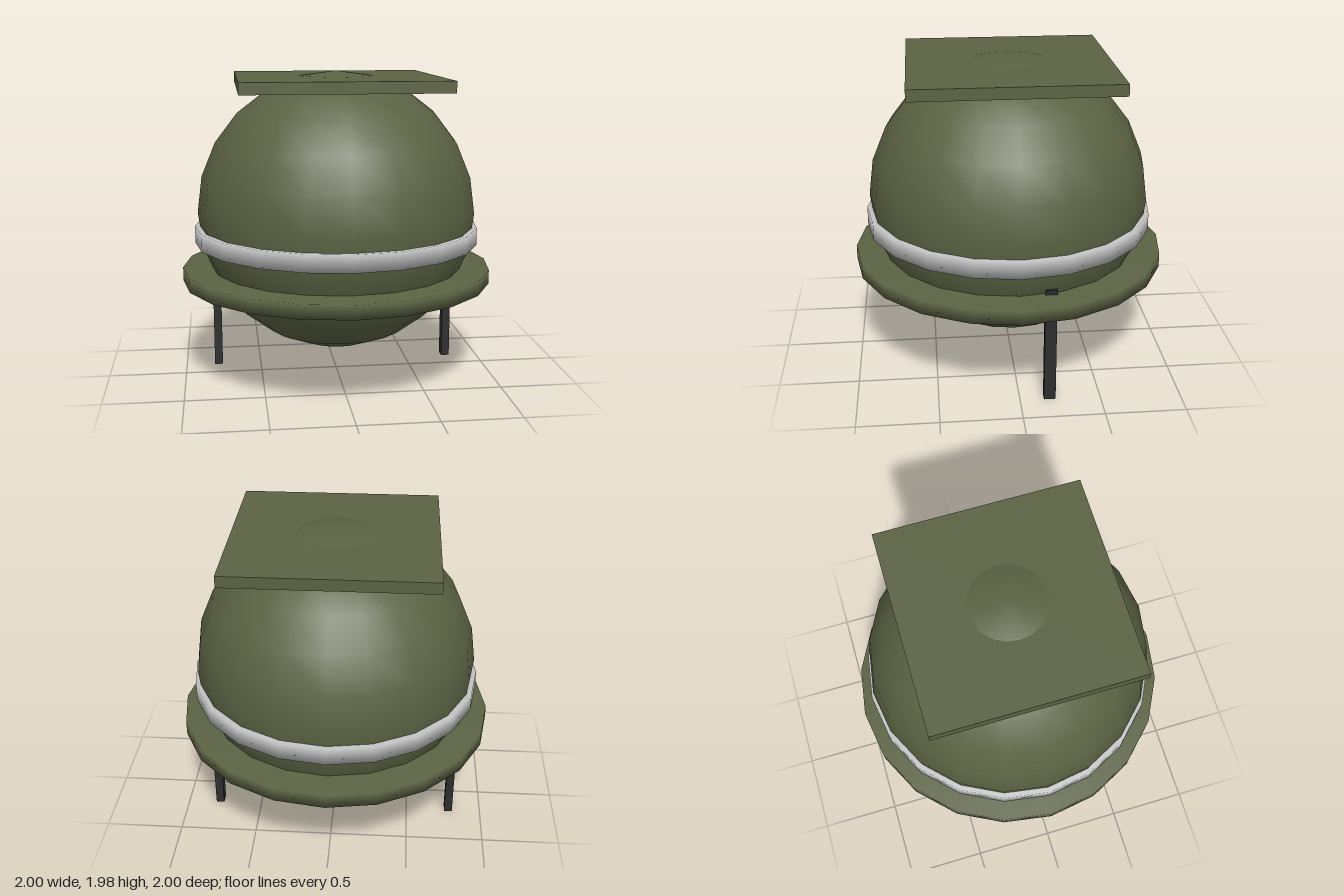
import * as THREE from 'three';
import { mergeVertices } from 'three/addons/utils/BufferGeometryUtils.js';

const mat = (name, color) => {
  const m = new THREE.MeshStandardMaterial({ color });
  m.name = name;
  return m;
};

// Cylinder disc whose rim is shaded softly, without a crease at the caps
function softDisc(radius, height) {
  const g = new THREE.CylinderGeometry(radius, radius, height, 20);
  g.deleteAttribute('normal');
  g.deleteAttribute('uv');
  const merged = mergeVertices(g, 1e-4);
  merged.computeVertexNormals();
  return merged;
}

export function createModel() {
  const model = new THREE.Group();
  model.name = 'domedHat';
  const green = mat('oliveGreen', 0x5b6243);
  const silver = mat('silver', 0xc0c0c0);
  const black = mat('charcoal', 0x2d2d2e);

  const add = (name, geometry, material, x, y, z) => {
    const mesh = new THREE.Mesh(geometry, material);
    mesh.name = name;
    mesh.position.set(x, y, z);
    model.add(mesh);
  };

  // Round body, with its crown just breaking through the top board
  add('body', new THREE.SphereGeometry(0.896, 20, 12), green, 0, 1.086, 0);
  add('topBoard', new THREE.BoxGeometry(1.27, 0.072, 1.27), green, 0, 1.913, 0);

  // Brim and band
  add('brim', softDisc(1, 0.09), green, 0, 0.679, 0);
  add('band', softDisc(0.916, 0.11), silver, 0, 0.94, 0);

  // Straight side straps, set slightly behind the middle
  for (const [name, side] of [['leftStrap', 1], ['rightStrap', -1]]) {
    add(name, new THREE.BoxGeometry(0.053, 0.754, 0.072), black, side * 0.785, 0.377, -0.185);
  }
  return model;
}
